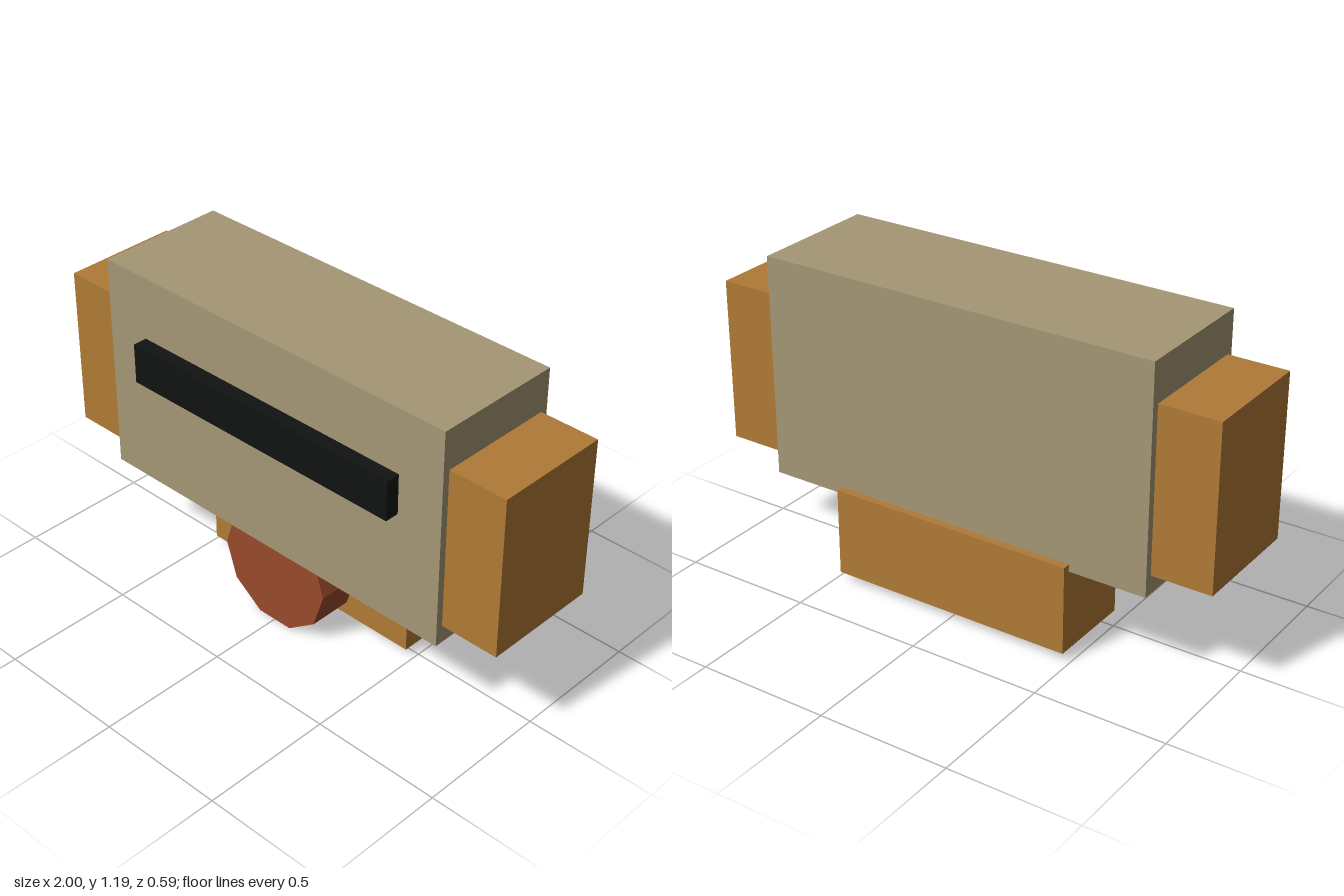
import * as THREE from 'three';

const material = (color) => new THREE.MeshStandardMaterial({ color, flatShading: true });

export function createModel() {
  const group = new THREE.Group();
  const tan = material(0xa49774);
  const orange = material(0xb07a36);
  const red = material(0x984a2c);
  const black = material(0x111313);

  // Box given by its extents along each axis
  const box = (name, mat, [x0, x1], [y0, y1], [z0, z1]) => {
    const mesh = new THREE.Mesh(new THREE.BoxGeometry(x1 - x0, y1 - y0, z1 - z0), mat);
    mesh.position.set((x0 + x1) / 2, (y0 + y1) / 2, (z0 + z1) / 2);
    mesh.name = name;
    group.add(mesh);
  };

  // Main block with the dark bar on its face
  box('body', tan, [-0.773, 0.773], [0.343, 1.185], [-0.266, 0.24]);
  box('frontBar', black, [-0.592, 0.592], [0.786, 0.94], [0.2, 0.295]);

  // Blocks on both sides
  box('leftBlock', orange, [0.72, 1], [0.413, 1.031], [-0.237, 0.213]);
  box('rightBlock', orange, [-1, -0.72], [0.413, 1.031], [-0.237, 0.213]);

  // Block under the back
  box('lowerBlock', orange, [-0.478, 0.478], [0.034, 0.37], [-0.295, 0.043]);

  // Ten-sided drum lying front to back, flat side down
  const radius = 0.239, front = 0.213, back = -0.125;
  const drumGeometry = new THREE.CylinderGeometry(radius, radius, front - back, 10, 1, false, Math.PI / 2);
  drumGeometry.rotateX(Math.PI / 2);
  const drum = new THREE.Mesh(drumGeometry, red);
  drum.name = 'drum';
  drum.position.set(0, radius * Math.cos(Math.PI / 10), (front + back) / 2);
  group.add(drum);

  return group;
}
